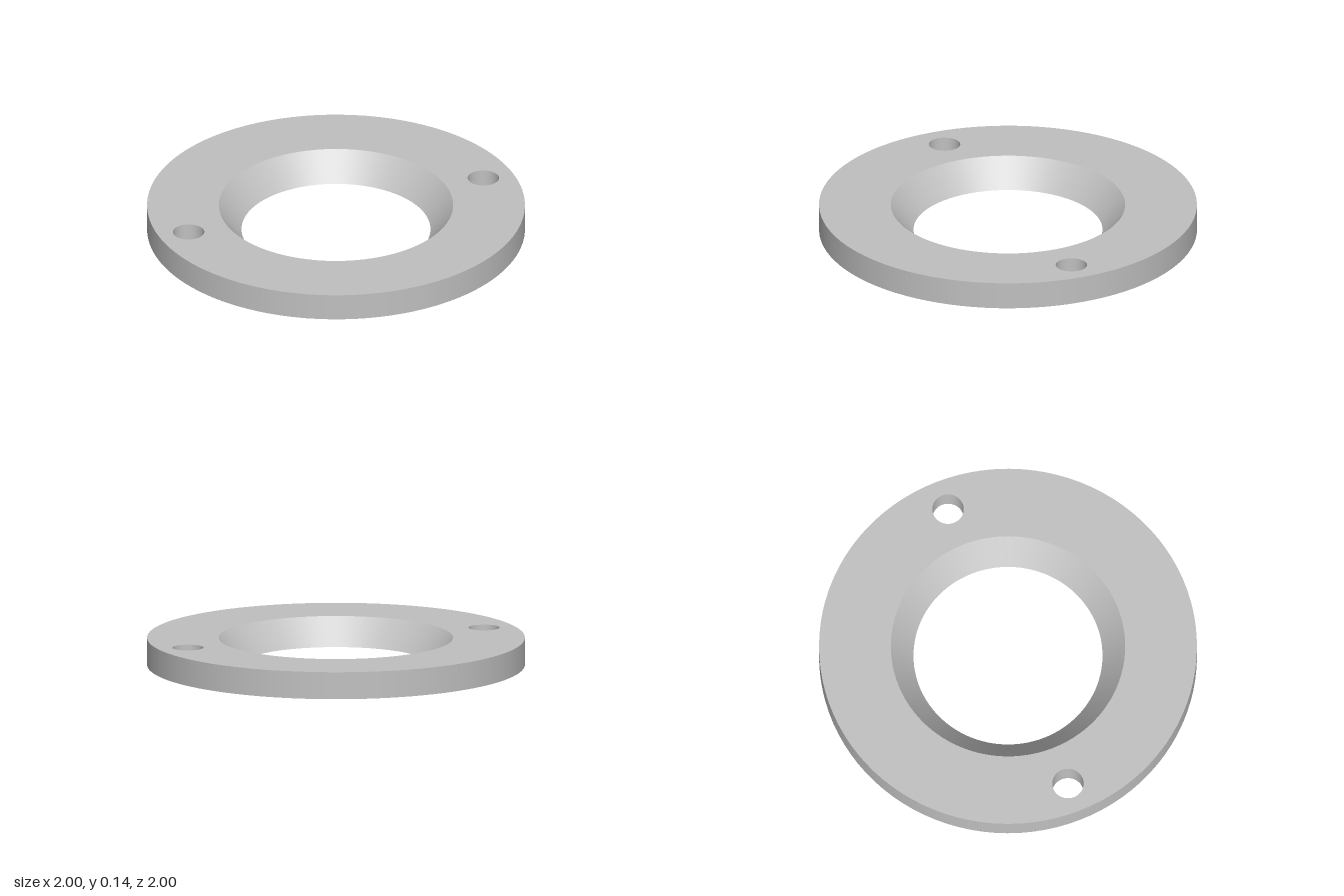
import * as THREE from 'three';

const HEIGHT = 0.145, OUTER = 1, BORE_TOP = 0.62, BORE_BOTTOM = 0.5;
const BOLT_X = 0.835, BOLT_R = 0.083, SEGMENTS = 96;

export function createModel() {
  const steel = new THREE.MeshStandardMaterial({ color: 0xc0c0c0 });
  const group = new THREE.Group();
  group.name = 'flangeRing';

  const add = (name, geometry) => {
    const mesh = new THREE.Mesh(geometry, steel);
    mesh.name = name;
    group.add(mesh);
    return mesh;
  };
  const circle = (Type, x, r) => new Type().absarc(x, 0, r, 0, Math.PI * 2, false);

  // Flat annular face with the bore and two bolt holes
  const face = (bore) => {
    const shape = circle(THREE.Shape, 0, OUTER);
    shape.holes.push(circle(THREE.Path, 0, bore));
    for (const side of [-1, 1]) shape.holes.push(circle(THREE.Path, side * BOLT_X, BOLT_R));
    return new THREE.ShapeGeometry(shape, SEGMENTS / 2);
  };
  add('topFace', face(BORE_TOP).rotateX(-Math.PI / 2).translate(0, HEIGHT, 0));
  add('bottomFace', face(BORE_BOTTOM).rotateX(Math.PI / 2));

  // Walls: a profile running upwards faces out, downwards faces in
  const wall = (r0, y0, r1, y1) =>
    new THREE.LatheGeometry([new THREE.Vector2(r0, y0), new THREE.Vector2(r1, y1)], SEGMENTS);
  add('outerRim', wall(OUTER, 0, OUTER, HEIGHT));
  add('taperedBore', wall(BORE_TOP, HEIGHT, BORE_BOTTOM, 0));

  // Bolt holes on both sides
  for (const side of [-1, 1]) {
    const hole = add(side > 0 ? 'leftBoltHole' : 'rightBoltHole', wall(BOLT_R, HEIGHT, BOLT_R, 0));
    hole.position.x = side * BOLT_X;
  }
  return group;
}
